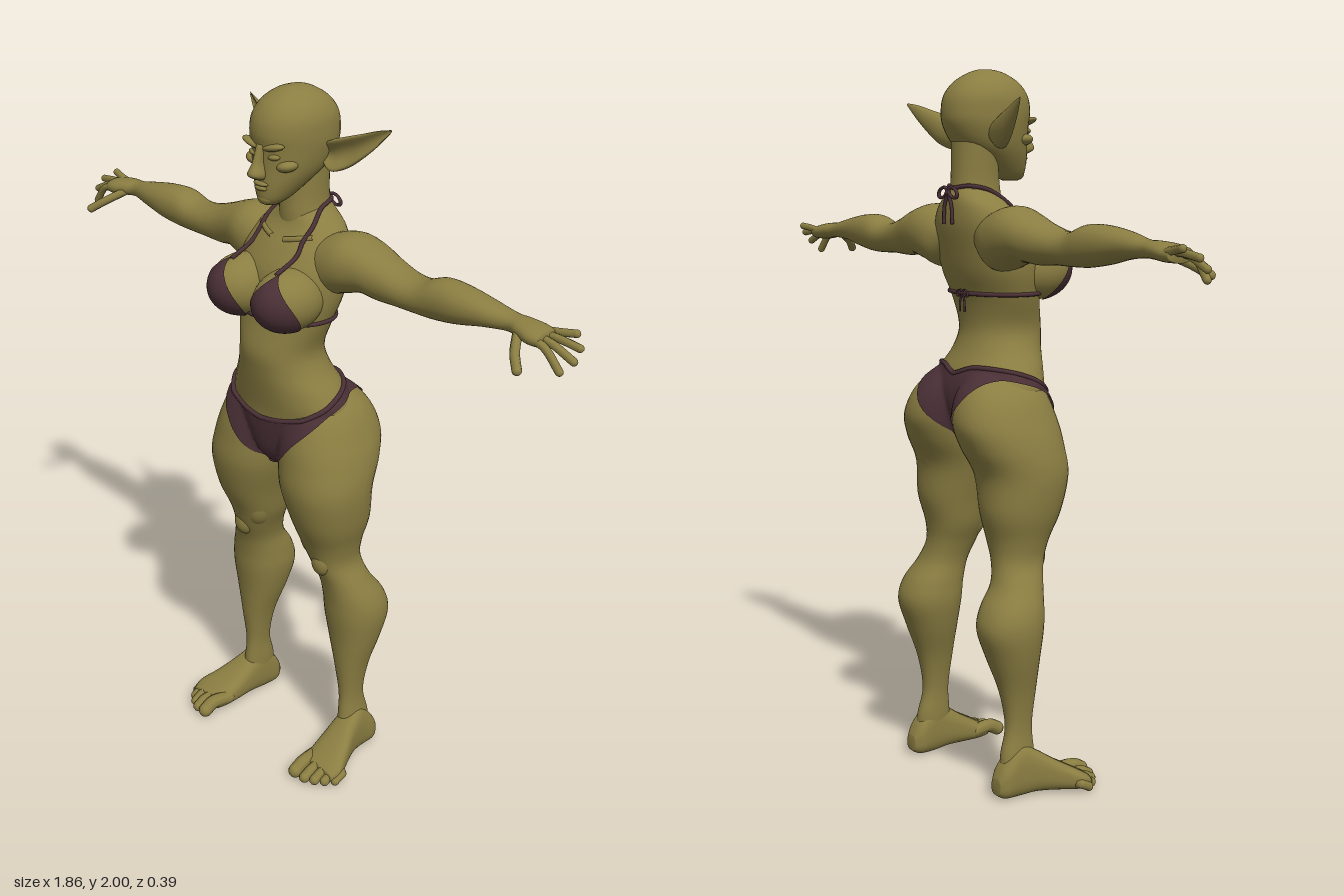
import * as THREE from 'three';
import { mergeGeometries } from 'three/addons/utils/BufferGeometryUtils.js';

const V = (x, y, z) => new THREE.Vector3(x, y, z);
const rad = THREE.MathUtils.degToRad;

const skin = new THREE.MeshStandardMaterial({ color: 0x8b7e42 });
skin.name = 'olive skin';
const cloth = new THREE.MeshStandardMaterial({ color: 0x4a3036, side: THREE.DoubleSide });
cloth.name = 'dark plum cloth';

// Smooth value through a list of numbers or rows, t in 0..1
function spline(list, t) {
  const n = list.length - 1, f = Math.min(t * n, n - 1e-6), i = Math.floor(f), u = f - i;
  const at = k => list[Math.max(0, Math.min(n, k))];
  return list[0].map((_, c) => {
    const [a, b, d, e] = [at(i - 1)[c], at(i)[c], at(i + 1)[c], at(i + 2)[c]];
    return b + 0.5 * u * (d - a + u * (2 * a - 5 * b + 4 * d - e + u * (3 * (b - d) + e - a)));
  });
}

// Rounded body along an axis. Rows ascend: x:[x,y0,y1,z0,z1]  y:[y,z0,z1,x0,x1]  z:[z,x0,x1,y0,y1]
function loft(axis, rows, { round = 0.92, dent = 0, sides = 36 } = {}) {
  const first = 'xyz'.indexOf(axis), pos = [], idx = [];
  const steps = (rows.length - 1) * 5;
  for (let i = -1; i <= steps + 1; i++) {
    const [p, a0, a1, b0, b1] = spline(rows, Math.max(0, Math.min(1, i / steps)));
    const k = i < 0 || i > steps ? 0 : 0.5;
    for (let j = 0; j < sides; j++) {
      const t = (j / sides) * Math.PI * 2, c = Math.cos(t), s = Math.sin(t);
      const bend = v => Math.sign(v) * Math.abs(v) ** round;
      const sb = s > 0 ? bend(s) * (1 - dent * s * s) : bend(s);
      const q = [0, 0, 0];
      q[first] = p;
      q[(first + 1) % 3] = (a0 + a1) / 2 + bend(c) * (a1 - a0) * k;
      q[(first + 2) % 3] = (b0 + b1) / 2 + sb * (b1 - b0) * k;
      pos.push(...q);
    }
  }
  for (let i = 0; i < steps + 2; i++) for (let j = 0; j < sides; j++) {
    const a = i * sides + j, b = i * sides + (j + 1) % sides;
    idx.push(a, b, a + sides, b, b + sides, a + sides);
  }
  const g = new THREE.BufferGeometry();
  g.setAttribute('position', new THREE.Float32BufferAttribute(pos, 3));
  g.setIndex(idx);
  g.computeVertexNormals();
  return g;
}

// Sheet from fn(u, v) -> Vector3
function sheet(fn, nu, nv) {
  const g = new THREE.PlaneGeometry(1, 1, nu, nv), p = g.attributes.position;
  for (let j = 0, k = 0; j <= nv; j++) for (let i = 0; i <= nu; i++, k++) {
    const q = fn(i / nu, j / nv);
    p.setXYZ(k, q.x, q.y, q.z);
  }
  g.computeVertexNormals();
  return g;
}

const tube = (pts, r, closed = false) =>
  new THREE.TubeGeometry(new THREE.CatmullRomCurve3(pts, closed), pts.length * 6, r, 8, closed);

// Tube with ball ends, for fingers and toes
const digit = (pts, r) => mergeGeometries([tube(pts, r),
  ...[pts[0], pts[pts.length - 1]].map(p => new THREE.SphereGeometry(r, 12, 8).translate(p.x, p.y, p.z))]);

const ball = (x, y, z, rx, ry, rz, tilt = 0) =>
  new THREE.SphereGeometry(1, 28, 20).scale(rx, ry, rz).rotateZ(tilt).translate(x, y, z);

function flip(geo) {
  const g = geo.clone().scale(-1, 1, 1), a = g.index.array;
  for (let i = 0; i < a.length; i += 3) [a[i], a[i + 1]] = [a[i + 1], a[i]];
  return g;
}

export function createModel() {
  const model = new THREE.Group();
  const add = (name, geo, mat = skin) => {
    const m = new THREE.Mesh(geo, mat);
    m.name = name;
    model.add(m);
    return m;
  };
  const pair = (name, geo, mat = skin) => [add('left' + name, geo, mat), add('right' + name, flip(geo), mat)];
  const even = rows => rows.map(([y, z0, z1, w]) => [y, z0, z1, -w, w]);

  // Trunk and neck
  const torso = add('torso', loft('y', even([
    [0.935, -0.06, 0.05, 0.03], [0.98, -0.10, 0.09, 0.07], [1.05, -0.13, 0.105, 0.14],
    [1.12, -0.14, 0.11, 0.192], [1.18, -0.125, 0.12, 0.172], [1.24, -0.095, 0.13, 0.135],
    [1.30, -0.08, 0.135, 0.12], [1.38, -0.09, 0.115, 0.145], [1.45, -0.115, 0.105, 0.165],
    [1.52, -0.13, 0.095, 0.17], [1.58, -0.14, 0.06, 0.16], [1.63, -0.14, 0.02, 0.125],
    [1.665, -0.135, 0.005, 0.075], [1.69, -0.12, -0.01, 0.05]])));
  const neck = add('neck', loft('y', even([
    [1.58, -0.12, 0.01, 0.06], [1.65, -0.13, 0.015, 0.064], [1.71, -0.125, 0.01, 0.06], [1.82, -0.12, 0.0, 0.065]])));

  // Head and face
  add('head', loft('y', even([
    [1.702, 0.04, 0.088, 0.02], [1.72, 0.0, 0.102, 0.04], [1.76, -0.06, 0.104, 0.066], [1.80, -0.115, 0.102, 0.085],
    [1.85, -0.145, 0.103, 0.097], [1.89, -0.15, 0.108, 0.1], [1.93, -0.142, 0.1, 0.096],
    [1.965, -0.115, 0.075, 0.077], [1.99, -0.075, 0.035, 0.045], [2.0, -0.045, 0.005, 0.015]])));
  add('nose', loft('y', even([
    [1.775, 0.09, 0.118, 0.014], [1.79, 0.09, 0.142, 0.021], [1.82, 0.09, 0.128, 0.012], [1.865, 0.085, 0.112, 0.011]])));
  add('upperLip', ball(0, 1.762, 0.101, 0.026, 0.007, 0.012));
  add('lowerLip', ball(0, 1.75, 0.1, 0.022, 0.008, 0.012));
  add('chin', ball(0, 1.72, 0.085, 0.026, 0.018, 0.018));
  pair('Brow', ball(0.038, 1.862, 0.092, 0.038, 0.01, 0.018, 0.22));
  pair('Eyelid', ball(0.036, 1.836, 0.087, 0.019, 0.009, 0.015, 0.1));
  pair('Cheekbone', ball(0.058, 1.812, 0.062, 0.028, 0.016, 0.03, 0.2));
  pair('Ear', loft('x', [
    [0.08, 1.805, 1.855, -0.07, -0.03], [0.11, 1.787, 1.872, -0.08, -0.02], [0.15, 1.80, 1.885, -0.09, -0.035],
    [0.19, 1.83, 1.897, -0.095, -0.055], [0.23, 1.868, 1.91, -0.1, -0.078], [0.265, 1.909, 1.917, -0.105, -0.1]],
    { dent: 1.3 }));

  // Arms and hands
  pair('Arm', loft('x', [
    [0.08, 1.50, 1.60, -0.12, 0.02], [0.13, 1.46, 1.625, -0.14, 0.035], [0.19, 1.475, 1.637, -0.145, 0.035],
    [0.25, 1.49, 1.622, -0.14, 0.02], [0.31, 1.485, 1.60, -0.13, 0.01], [0.38, 1.488, 1.58, -0.12, 0.005],
    [0.44, 1.487, 1.578, -0.115, 0], [0.50, 1.488, 1.597, -0.115, 0], [0.57, 1.498, 1.596, -0.11, 0],
    [0.65, 1.515, 1.583, -0.1, -0.012], [0.72, 1.522, 1.568, -0.094, -0.032], [0.76, 1.52, 1.566, -0.1, -0.022],
    [0.80, 1.515, 1.562, -0.105, -0.012], [0.835, 1.515, 1.555, -0.1, -0.018]]));
  const tips = [[0.895, 1.478, -0.03], [0.918, 1.505, -0.052], [0.916, 1.532, -0.075], [0.885, 1.553, -0.1]];
  tips.forEach(([x, y, z], i) => pair('Finger' + (i + 1), digit([
    V(0.8, 1.54, -0.027 - i * 0.021), V(0.85, 1.527 + i * 0.007, -0.026 - i * 0.022), V(x, y, z)], 0.0105)));
  pair('Thumb', digit([V(0.76, 1.535, -0.035), V(0.795, 1.508, 0.015), V(0.828, 1.483, 0.045)], 0.0125));

  // Legs with hips and calves
  const legs = pair('Leg', loft('y', [
    [0.05, -0.12, -0.01, 0.182, 0.25], [0.12, -0.118, -0.012, 0.178, 0.242], [0.20, -0.1, -0.018, 0.178, 0.236],
    [0.30, -0.115, -0.008, 0.16, 0.25], [0.40, -0.15, 0.0, 0.128, 0.275], [0.48, -0.175, 0.01, 0.11, 0.288],
    [0.54, -0.16, 0.015, 0.11, 0.28], [0.60, -0.12, 0.025, 0.112, 0.253], [0.66, -0.105, 0.045, 0.095, 0.228],
    [0.72, -0.11, 0.065, 0.07, 0.235], [0.80, -0.13, 0.1, 0.05, 0.258], [0.90, -0.135, 0.124, 0.02, 0.271],
    [0.98, -0.175, 0.12, 0.004, 0.262], [1.05, -0.195, 0.11, 0.0, 0.24], [1.13, -0.165, 0.085, 0.0, 0.2],
    [1.20, -0.09, 0.05, 0.02, 0.12]]));
  pair('Kneecap', ball(0.165, 0.665, 0.025, 0.034, 0.042, 0.03));
  pair('InnerKneeMuscle', ball(0.115, 0.735, 0.01, 0.04, 0.07, 0.045, 0.15));

  // Feet and toes
  pair('Foot', loft('z', [
    [-0.143, 0.195, 0.235, 0.015, 0.06], [-0.12, 0.18, 0.25, 0.002, 0.1], [-0.07, 0.178, 0.255, 0, 0.15],
    [-0.02, 0.178, 0.268, 0.004, 0.128], [0.04, 0.178, 0.295, 0.002, 0.09], [0.09, 0.182, 0.318, 0, 0.062],
    [0.125, 0.19, 0.31, 0.004, 0.042]], { round: 0.75 }));
  [[0.205, 0.168, 0.021], [0.242, 0.166, 0.016], [0.27, 0.152, 0.015], [0.294, 0.134, 0.014], [0.314, 0.11, 0.013]]
    .forEach(([x, z, r], i) => pair('Toe' + (i + 1),
      digit([V(x - 0.008, r + 0.012, 0.08), V(x, r + 0.014, z - 0.03), V(x, r, z)], r)));

  // Chest
  const bust = pair('Breast', ball(0.088, 1.46, 0.085, 0.085, 0.085, 0.108));

  // Point on the skin at an angle round the body (0 front, 90 left side), lifted slightly
  const ray = new THREE.Raycaster();
  const hug = (deg, y, lift, targets, zc = -0.03) => {
    const dir = V(Math.sin(rad(deg)), 0, Math.cos(rad(deg))), mid = V(0, y, zc);
    ray.set(mid.clone().addScaledVector(dir, 0.6), dir.clone().negate());
    const hit = ray.intersectObjects(targets, false)[0];
    return (hit ? hit.point : mid).clone().addScaledVector(dir, lift);
  };
  const chest = [torso, neck, ...bust];
  pair('Collarbone', tube([[14, 1.6], [35, 1.607], [60, 1.615]].map(([a, y]) => hug(a, y, -0.002, chest, -0.05)), 0.008));

  // Bikini top: cups, neck strap, back band and bows
  pair('Cup', sheet((u, v) => {
    const el = rad(-76 + 146 * v), half = 72 * (1 - v ** 1.5) + 3;
    const az = rad(12 + (u * 2 - 1) * half), k = Math.cos(el);
    return V(0.088 + 0.088 * Math.sin(az) * k, 1.46 + 0.088 * Math.sin(el), 0.085 + 0.112 * Math.cos(az) * k);
  }, 24, 24), cloth);
  pair('NeckStrap', tube([V(0.088, 1.54, 0.13),
    ...[[40, 1.575], [46, 1.605], [62, 1.64], [92, 1.675], [140, 1.688], [180, 1.682]]
      .map(([a, y]) => hug(a, y, 0.004, chest, -0.05))], 0.006), cloth);
  const band = [];
  for (let a = 0; a < 360; a += 12) band.push(hug(a, 1.395, 0.003, [torso]));
  add('chestBand', tube(band, 0.006, true), cloth);
  const bow = (name, y, z, s) => {
    pair(name + 'Loop', new THREE.TorusGeometry(0.016 * s, 0.005 * s, 8, 20).scale(1.3, 0.8, 1)
      .rotateZ(-0.4).translate(0.024 * s, y, z), cloth);
    pair(name + 'Tail', tube([V(0, y, z), V(0.016 * s, y - 0.035 * s, z), V(0.02 * s, y - 0.085 * s, z)], 0.005 * s), cloth);
    add(name + 'Knot', ball(0, y, z, 0.009 * s, 0.009 * s, 0.008 * s), cloth);
  };
  bow('napeBow', 1.67, -0.148, 1);
  bow('backBow', 1.395, -0.101, 0.6);

  // Bikini bottom wrapped round the hips, edges given by angle
  const top = [[1.095], [1.115], [1.18], [1.195], [1.175]];
  const low = [[0.935], [0.965], [1.06], [1.125], [1.155], [1.165], [1.14], [1.06], [0.96]];
  const hips = [torso, ...legs];
  const edge = (list, deg) => spline(list, Math.abs(deg) / 180)[0];
  add('bikiniBottom', sheet((u, v) => {
    const deg = -180 + 360 * u;
    return hug(deg, THREE.MathUtils.lerp(edge(top, deg), edge(low, deg), v), 0.007, hips);
  }, 120, 14), cloth);
  const waist = [];
  for (let a = -180; a < 180; a += 10) waist.push(hug(a, edge(top, a), 0.004, hips));
  add('bikiniWaistband', tube(waist, 0.007, true), cloth);
  add('bikiniGusset', ball(0, 0.948, 0, 0.034, 0.018, 0.075), cloth);

  return model;
}
